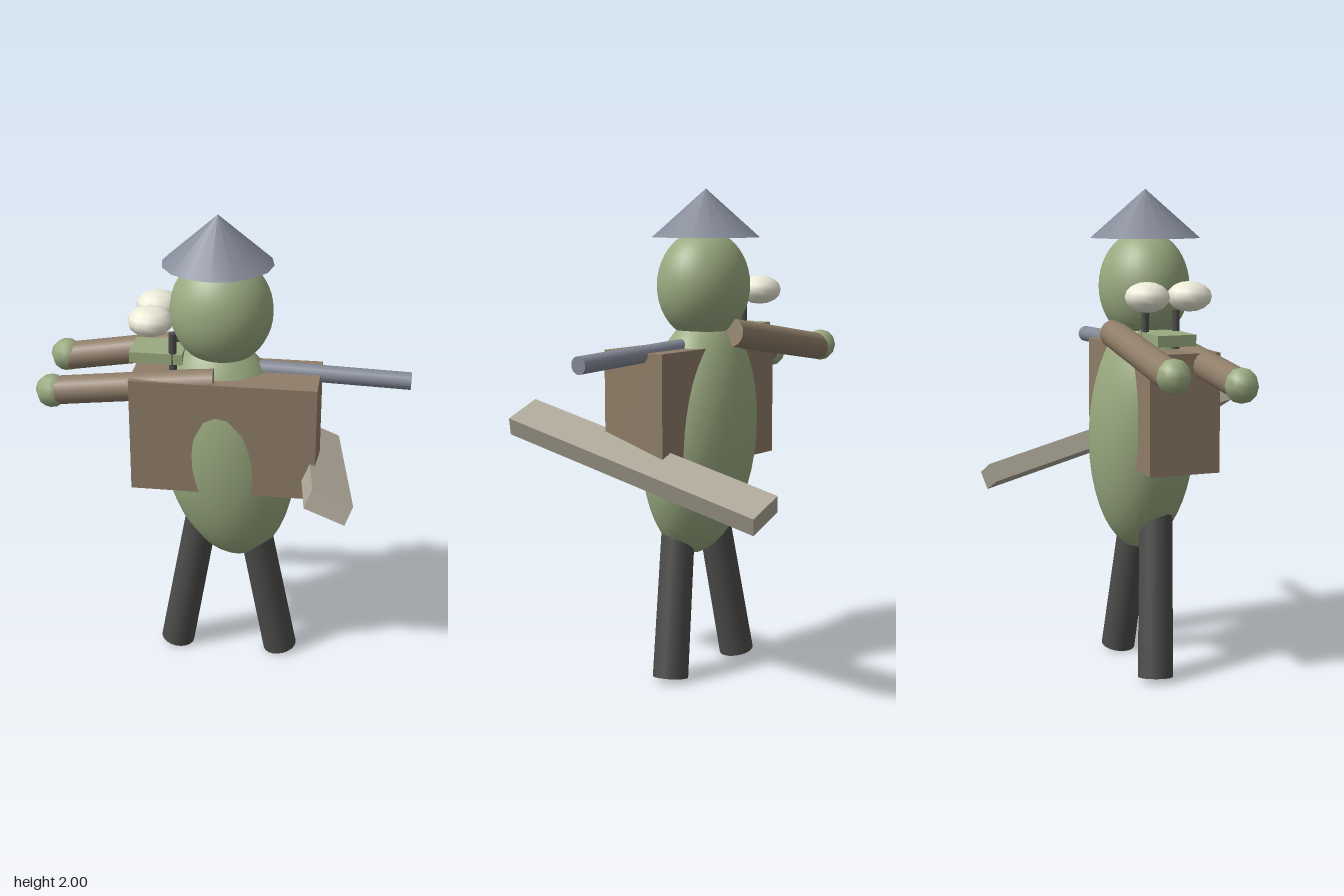
import * as THREE from 'three';

const mat = (color) => new THREE.MeshStandardMaterial({ color });
const green = mat(0x9aaa80), brown = mat(0x8f7d68), steel = mat(0x858a98);
const dark = mat(0x4c4c4a), wood = mat(0xb0aa9a), white = mat(0xecead8);

export function createModel() {
  const group = new THREE.Group();

  const add = (name, geometry, material, x = 0, y = 0, z = 0) => {
    const mesh = new THREE.Mesh(geometry, material);
    mesh.name = name;
    mesh.position.set(x, y, z);
    group.add(mesh);
    return mesh;
  };

  const ellipsoid = (name, material, pos, radii, seg = 32) => {
    const mesh = add(name, new THREE.SphereGeometry(1, seg, Math.round(seg * 0.7)), material, ...pos);
    mesh.scale.set(...radii);
    return mesh;
  };

  // Cylinder running between two points
  const rod = (name, material, a, b, rA, rB = rA, seg = 16) => {
    const from = new THREE.Vector3(...a), to = new THREE.Vector3(...b);
    const dir = to.clone().sub(from);
    const mesh = add(name, new THREE.CylinderGeometry(rB, rA, dir.length(), seg), material);
    mesh.position.copy(from).add(to).multiplyScalar(0.5);
    mesh.quaternion.setFromUnitVectors(new THREE.Vector3(0, 1, 0), dir.normalize());
    return mesh;
  };

  // Body, head and conical hat
  ellipsoid('body', green, [0.015, 1.0, 0], [0.275, 0.5, 0.213]).rotation.z = 0.13;
  ellipsoid('head', green, [-0.012, 1.61, 0], [0.207, 0.226, 0.182]);
  add('hat', new THREE.ConeGeometry(0.222, 0.195, 16), steel, -0.026, 1.9025, 0);

  // Chest box
  add('chestBox', new THREE.BoxGeometry(0.75, 0.48, 0.295), brown, 0.015, 1.125, 0.0425);

  // Arms and hands, both reaching towards -x
  rod('frontArm', brown, [-0.7, 1.277, 0.133], [-0.02, 1.353, 0.133], 0.058);
  rod('backArm', brown, [-0.7, 1.312, -0.136], [-0.02, 1.422, -0.136], 0.058);
  ellipsoid('frontHand', green, [-0.685, 1.278, 0.133], [0.068, 0.068, 0.068], 8);
  ellipsoid('backHand', green, [-0.685, 1.322, -0.137], [0.068, 0.068, 0.068], 8);

  // Barrel and small plate
  rod('barrel', steel, [-0.19, 1.376, 0], [0.75, 1.347, 0], 0.035);
  add('plate', new THREE.BoxGeometry(0.215, 0.045, 0.16), green, -0.268, 1.418, 0);

  // Eyes with stalks, and legs
  for (const s of [-1, 1]) {
    ellipsoid('eye', white, [-0.283, 1.583, s * 0.088], [0.091, 0.06, 0.089], 12);
    rod('eyeStalk', dark, [-0.2, 1.37, s * 0.065], [-0.2, 1.525, s * 0.065], 0.016, 0.016, 8);
    rod('leg', dark, [0.016 + s * 0.23, 0.014, -0.025], [0.016 + s * 0.106, 0.7, 0.024], 0.073, 0.068, 20);
  }

  // Slanted plank: width, height and length axes
  const w = new THREE.Vector3(0.926, -0.377, 0).normalize();
  const d = new THREE.Vector3(0.0945, 0.239, 0.965).normalize();
  const h = d.clone().cross(w).normalize();
  const plank = add('plank', new THREE.BoxGeometry(0.167, 0.08, 1.185), wood, 0.412, 0.929, 0);
  plank.quaternion.setFromRotationMatrix(new THREE.Matrix4().makeBasis(w, h, d));

  return group;
}
